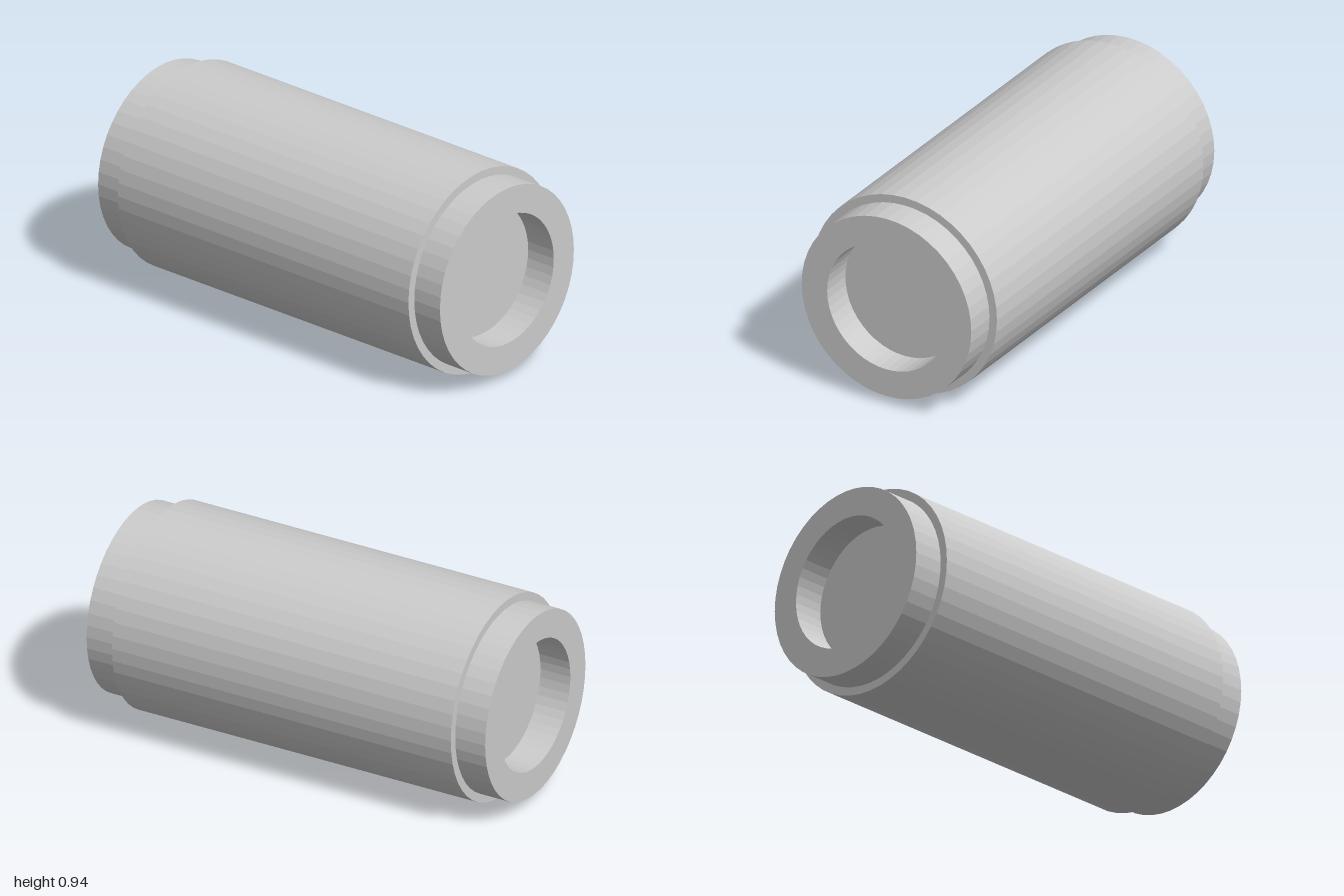
import * as THREE from 'three';

const SEGMENTS = 48;
const BARREL_RADIUS = 0.471;
const COLLAR_RADIUS = 0.433;
const BORE_RADIUS = 0.303;
const SHOULDER = 0.85; // half length of the barrel, also the floor of each recess
const END = 1;

export function createModel() {
  const model = new THREE.Group();
  model.name = 'steppedRoller';
  const material = new THREE.MeshStandardMaterial({ color: 0xcccccc, flatShading: true });

  // Main barrel; its flat ends form the shoulders and the recess floors
  const barrel = new THREE.Mesh(
    new THREE.CylinderGeometry(BARREL_RADIUS, BARREL_RADIUS, SHOULDER * 2, SEGMENTS),
    material
  );
  barrel.name = 'barrel';
  barrel.rotation.z = -Math.PI / 2;
  model.add(barrel);

  // Narrower hollow collar on each end: outer wall, end face, bore wall
  const profile = [
    [COLLAR_RADIUS, SHOULDER],
    [COLLAR_RADIUS, END],
    [BORE_RADIUS, END],
    [BORE_RADIUS, SHOULDER],
  ].map(([r, y]) => new THREE.Vector2(r, y));
  const collarGeometry = new THREE.LatheGeometry(profile, SEGMENTS);

  for (const [name, side] of [['leftCollar', 1], ['rightCollar', -1]]) {
    const collar = new THREE.Mesh(collarGeometry, material);
    collar.name = name;
    collar.rotation.z = -side * Math.PI / 2;
    model.add(collar);
  }

  // Lying on the ground
  model.position.y = BARREL_RADIUS;
  return model;
}
